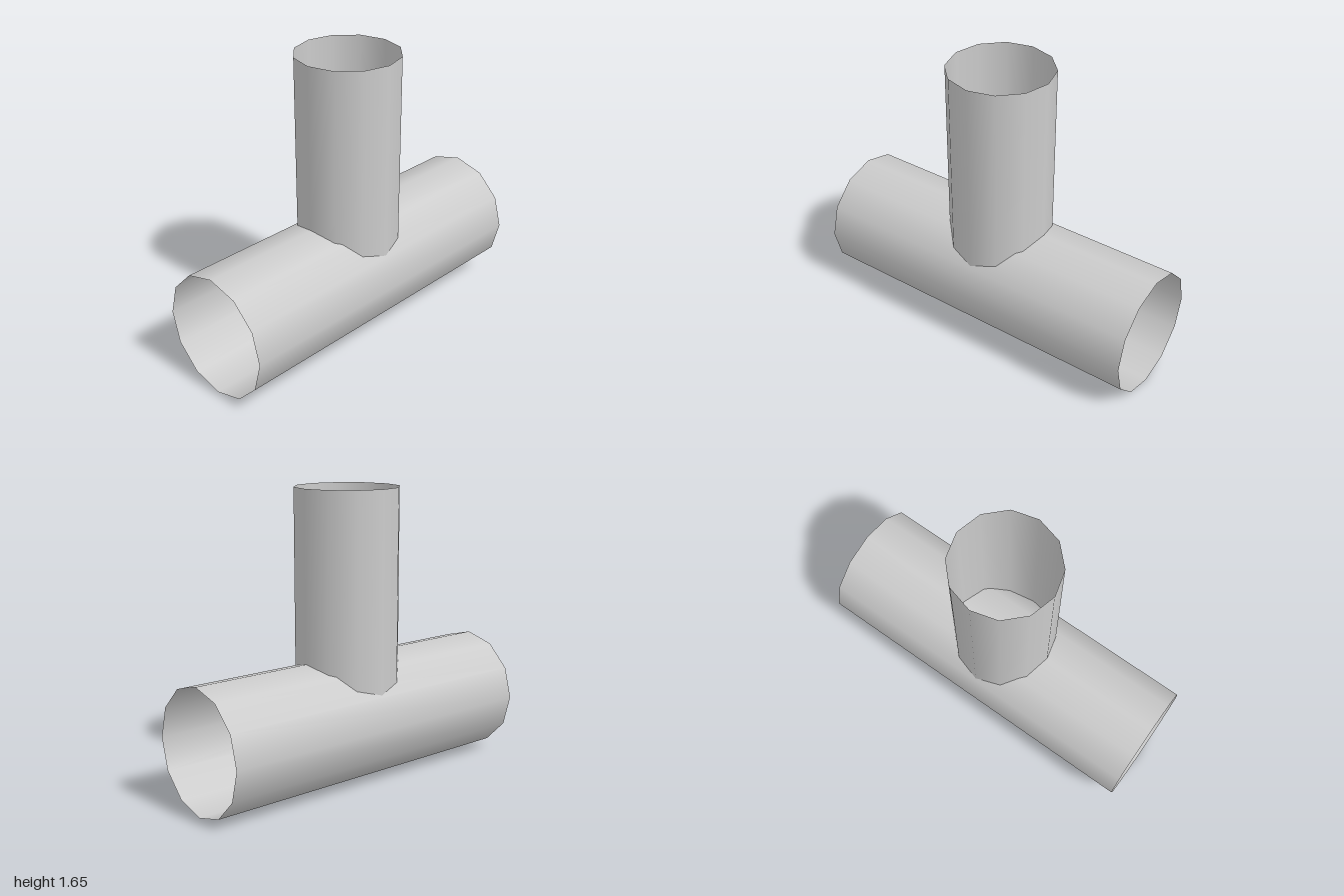
import * as THREE from 'three';

const SIDES = 12;

// Open, thin-walled, smooth-shaded tube standing along y
function makeTube(name, radius, length, material) {
  const geometry = new THREE.CylinderGeometry(radius, radius, length, SIDES, 1, true);
  const mesh = new THREE.Mesh(geometry, material);
  mesh.name = name;
  return mesh;
}

export function createModel() {
  const group = new THREE.Group();
  group.name = 'teePipe';
  const material = new THREE.MeshStandardMaterial({ color: 0xcccccc, side: THREE.DoubleSide });

  // Main pipe lying along z
  const mainPipe = makeTube('mainPipe', 0.35, 2, material);
  mainPipe.geometry.rotateX(Math.PI / 2);
  mainPipe.position.y = 0.35;

  // Branch pipe rising from inside the main pipe
  const bottom = 0.47, top = 1.65;
  const branchPipe = makeTube('branchPipe', 0.293, top - bottom, material);
  branchPipe.position.y = (top + bottom) / 2;

  group.add(mainPipe, branchPipe);
  return group;
}
